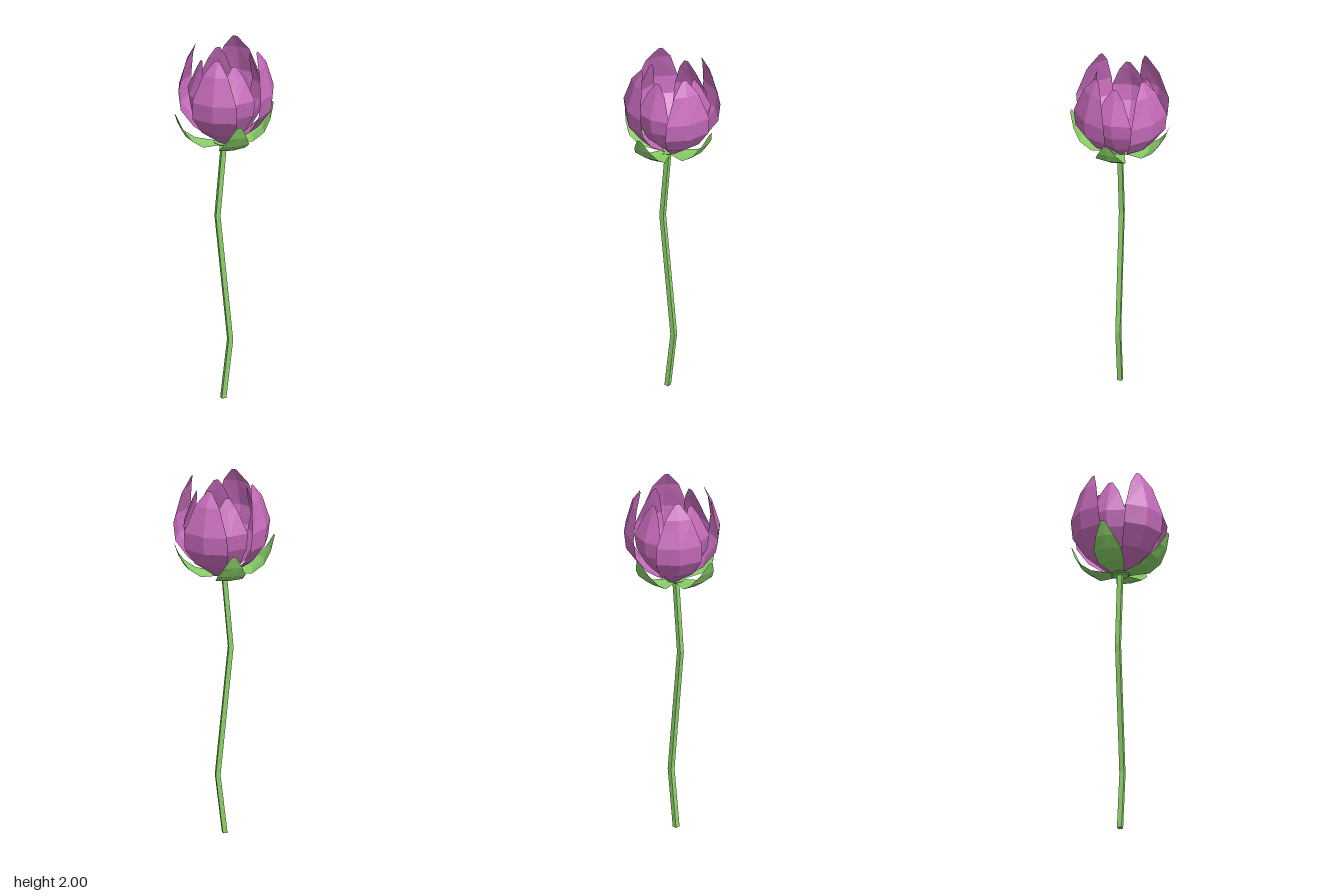
import * as THREE from 'three';

const purple = new THREE.MeshStandardMaterial({ color: 0xc76cbc, flatShading: true, side: THREE.DoubleSide });
const green = new THREE.MeshStandardMaterial({ color: 0x8cd26a, flatShading: true, side: THREE.DoubleSide });

// Rows run from tip to base: [height, distance from axis, half width]
const OUTER = [[2.0, 0.17, 0.012], [1.92, 0.212, 0.07], [1.77, 0.256, 0.122], [1.67, 0.245, 0.122], [1.57, 0.175, 0.09], [1.475, 0.05, 0.025]];
const INNER = [[1.95, 0.135, 0.012], [1.89, 0.155, 0.05], [1.76, 0.205, 0.1], [1.67, 0.19, 0.1], [1.57, 0.135, 0.075], [1.48, 0.04, 0.022]];
const SEPAL = [[1.665, 0.27, 0.012], [1.59, 0.245, 0.05], [1.53, 0.212, 0.076], [1.485, 0.155, 0.072], [1.468, 0.04, 0.03]];

// A creased leaf: two columns wide, its edges wrapped around the flower axis
function leafGeometry(rows) {
  const geo = new THREE.PlaneGeometry(1, 1, 2, rows.length - 1);
  const pos = geo.attributes.position;
  rows.forEach(([y, r, half], i) => {
    for (let c = -1; c <= 1; c++) {
      const x = c * half;
      pos.setXYZ(i * 3 + c + 1, x, y, Math.sqrt(r * r - x * x));
    }
  });
  const flat = geo.toNonIndexed();
  flat.computeVertexNormals();
  return flat;
}

// Four copies of a leaf around the axis
function whorl(name, rows, material, startDegrees) {
  const ring = new THREE.Group();
  ring.name = name + 's';
  const geo = leafGeometry(rows);
  for (let i = 0; i < 4; i++) {
    const leaf = new THREE.Mesh(geo, material);
    leaf.name = name;
    leaf.rotation.y = THREE.MathUtils.degToRad(startDegrees) + i * Math.PI / 2;
    ring.add(leaf);
  }
  return ring;
}

// Square stem with two gentle bends
function makeStem() {
  const path = [[0, 1.47], [-0.036, 1.05], [0.034, 0.33], [-0.004, 0]];
  const geo = new THREE.CylinderGeometry(0.018, 0.018, 1, 4, path.length - 1).rotateY(Math.PI / 4);
  const pos = geo.attributes.position;
  for (let i = 0; i < pos.count; i++) {
    const row = Math.round((0.5 - pos.getY(i)) * (path.length - 1));
    pos.setX(i, pos.getX(i) + path[row][0]);
    pos.setY(i, path[row][1]);
  }
  const stem = new THREE.Mesh(geo, green);
  stem.name = 'stem';
  return stem;
}

export function createModel() {
  const flower = new THREE.Group();
  flower.name = 'flower';
  flower.add(makeStem());

  // Small base joining stem and sepals
  const base = new THREE.Mesh(new THREE.CylinderGeometry(0.055, 0.045, 0.012, 8), green);
  base.name = 'flowerBase';
  base.position.y = 1.468;
  flower.add(base, whorl('sepal', SEPAL, green, -1));

  // Petals sit slightly off the stem axis
  const bloom = new THREE.Group();
  bloom.name = 'bloom';
  bloom.position.set(0.015, 0, -0.012);
  bloom.add(whorl('outerPetal', OUTER, purple, -34.6), whorl('innerPetal', INNER, purple, 0));
  flower.add(bloom);
  return flower;
}
